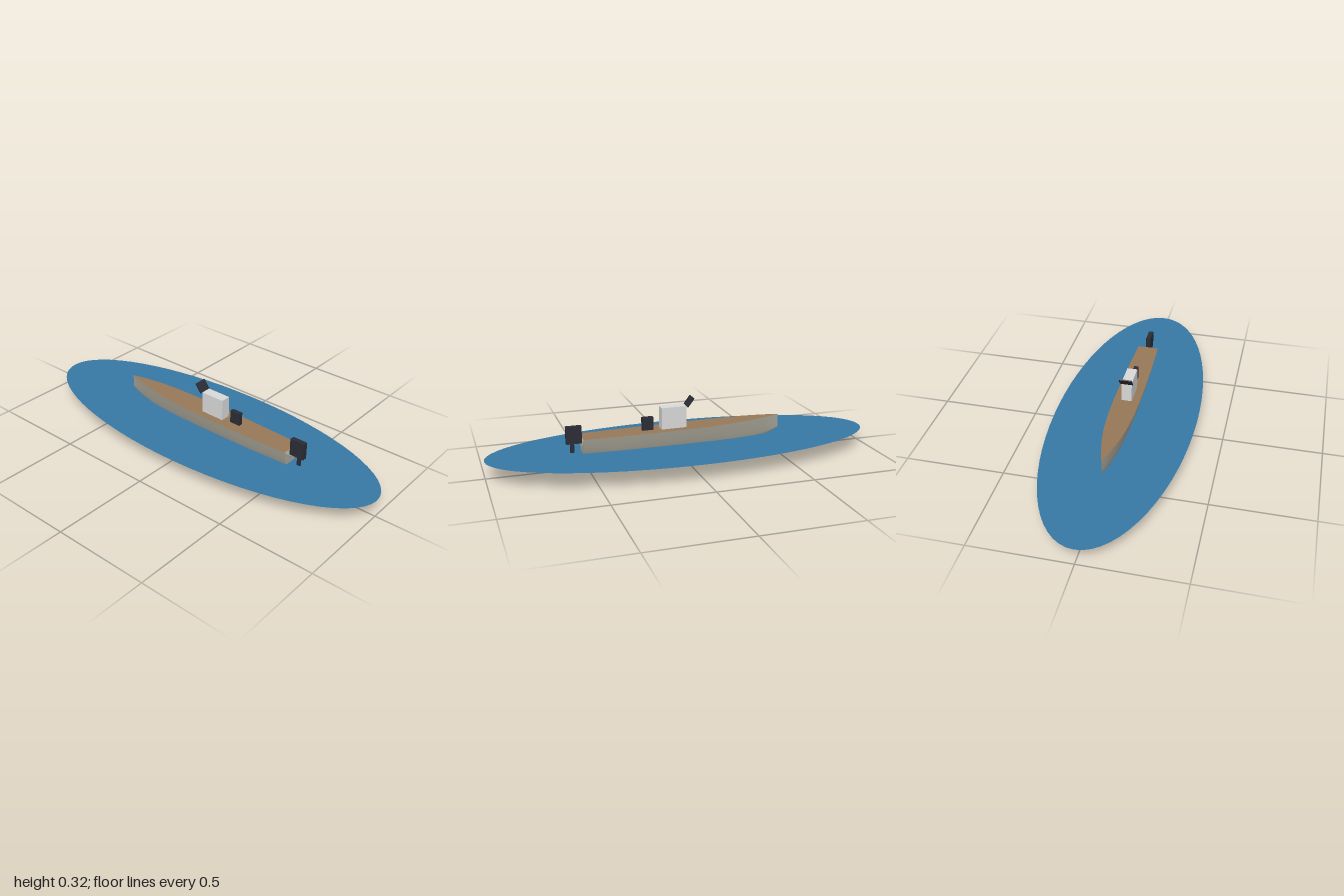
import * as THREE from 'three';

const mat = (name, color, side = THREE.FrontSide) => {
  const m = new THREE.MeshStandardMaterial({ color, side });
  m.name = name;
  return m;
};

// Surface between equal-length rows of points
function loft(rows) {
  const n = rows[0].length, index = [];
  for (let i = 0; i < rows.length - 1; i++) {
    for (let j = 0; j < n - 1; j++) {
      const a = i * n + j, b = a + n;
      index.push(a, a + 1, b, a + 1, b + 1, b);
    }
  }
  const g = new THREE.BufferGeometry();
  g.setAttribute('position', new THREE.Float32BufferAttribute(rows.flat(2), 3));
  g.setIndex(index);
  g.computeVertexNormals();
  return g;
}

export function createModel() {
  const water = mat('water blue', 0x3678a4, THREE.DoubleSide);
  const hullGrey = mat('hull grey', 0xaaa699, THREE.DoubleSide);
  const wood = mat('deck brown', 0x977757, THREE.DoubleSide);
  const pale = mat('console pale grey', 0xd8d8d8);
  const dark = mat('dark grey', 0x2b2b35);

  const boat = new THREE.Group();
  boat.name = 'motorboat';
  const add = (name, geometry, material) => {
    const m = new THREE.Mesh(geometry, material);
    m.name = name;
    boat.add(m);
    return m;
  };
  const box = (name, material, w, [y0, y1], [z0, z1]) => {
    const m = add(name, new THREE.BoxGeometry(w, y1 - y0, z1 - z0), material);
    m.position.set(0, (y0 + y1) / 2, (z0 + z1) / 2);
    return m;
  };

  // Elliptical water surface
  const disc = add('waterSurface', new THREE.CircleGeometry(1, 64).rotateX(-Math.PI / 2), water);
  disc.scale.set(0.363, 1, 1);
  disc.position.y = 0.088;

  // Hull stations, stern to bow: z, half width, keel height, deck height
  const stations = [
    [0.525, 0.055, 0.058, 0.166], [0.34, 0.062, 0.043, 0.167],
    [0.17, 0.066, 0.042, 0.169], [0, 0.067, 0.042, 0.171],
    [-0.14, 0.064, 0.042, 0.173], [-0.26, 0.055, 0.043, 0.177],
    [-0.35, 0.043, 0.055, 0.180], [-0.44, 0.024, 0.078, 0.183],
    [-0.49, 0.011, 0.097, 0.184], [-0.525, 0.0005, 0.115, 0.185],
  ];
  // Half section: fraction of half width, fraction of height
  const half = [[0, 0], [0.25, 0.03], [0.46, 0.11], [0.62, 0.27], [0.77, 0.5], [0.9, 0.76], [1, 1]];
  const section = [...half.slice(1).reverse().map(([x, y]) => [-x, y]), ...half];
  const rings = stations.map(([z, w, k, d]) => section.map(([x, y]) => [x * w, k + y * (d - k), z]));
  add('hull', loft(rings), hullGrey);

  // Transom fans out from its centre and leaves a notch at the top
  const stern = rings[0];
  add('transom', loft([stern.map(() => [0, 0.112, 0.525]), stern]).toNonIndexed(), hullGrey)
    .geometry.computeVertexNormals();

  // Flat deck between the sheer lines
  add('deck', loft(stations.map(([z, w, , d]) => [[w, d, z], [-w, d, z]]).reverse()), wood);

  // Deck fittings
  box('console', pale, 0.052, [0.168, 0.281], [-0.01, 0.12]);
  box('seat', dark, 0.023, [0.168, 0.235], [0.16, 0.217]);
  const screen = box('windscreen', dark, 0.065, [0.27, 0.326], [-0.034, -0.028]);
  screen.rotation.x = -0.65;

  // Outboard motor
  box('motorHead', dark, 0.025, [0.135, 0.223], [0.525, 0.603]);
  box('motorLeg', dark, 0.008, [0, 0.14], [0.563, 0.583]);

  return boat;
}
